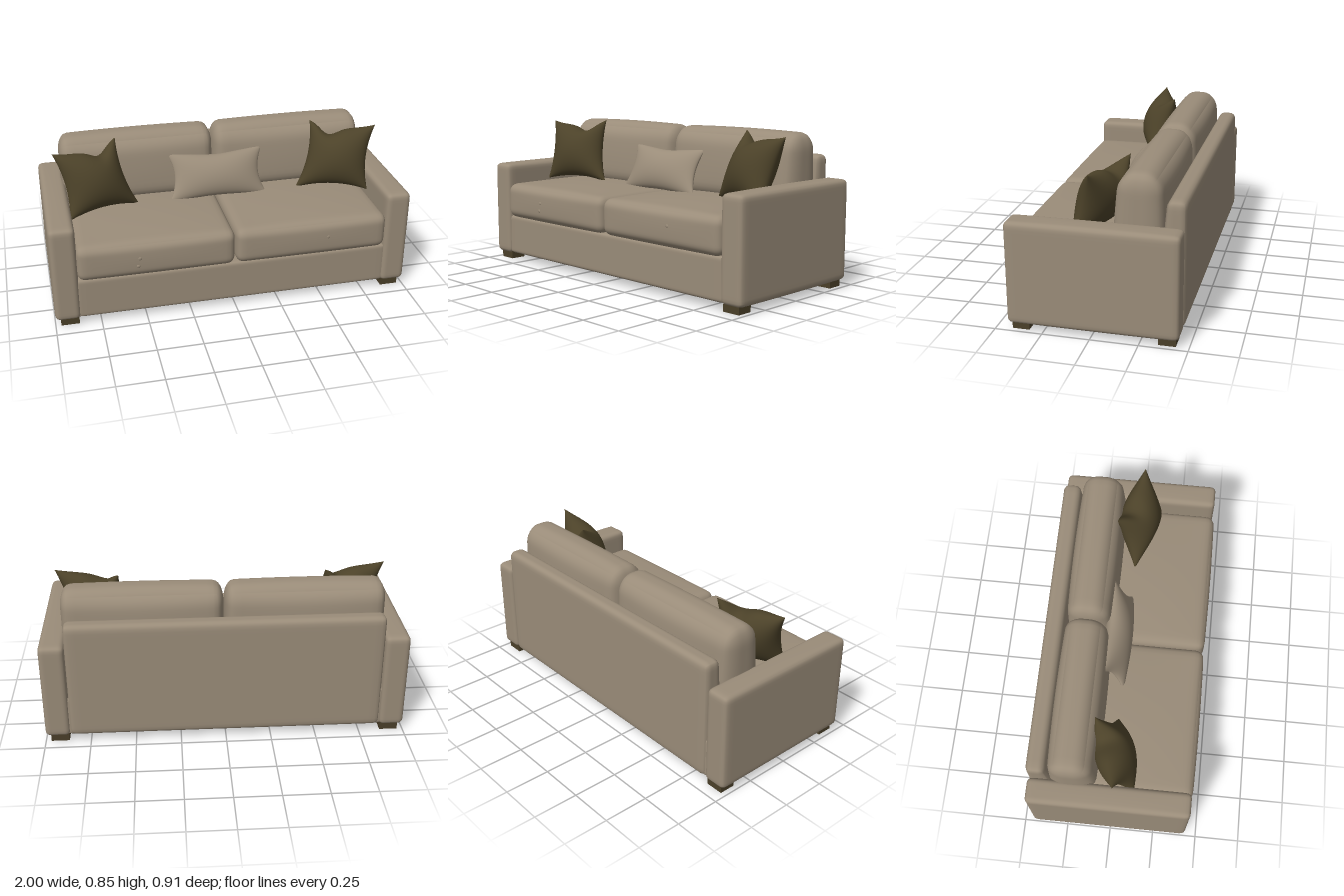
import * as THREE from 'three';
import { mergeGeometries, mergeVertices } from 'three/addons/utils/BufferGeometryUtils.js';

const fabric = new THREE.MeshStandardMaterial({ color: 0x9a8c79 });
fabric.name = 'taupe fabric';
const olive = new THREE.MeshStandardMaterial({ color: 0x4c4229 });
olive.name = 'olive fabric';
const wood = new THREE.MeshStandardMaterial({ color: 0x4a3f29 });
wood.name = 'dark wood';

const V = (x, y, z) => new THREE.Vector3(x, y, z);

// Move every vertex by a rule, then weld and smooth
function reshape(geo, rule) {
  geo.deleteAttribute('uv');
  geo.deleteAttribute('normal');
  const pos = geo.attributes.position;
  const p = V(0, 0, 0);
  for (let i = 0; i < pos.count; i++) {
    p.fromBufferAttribute(pos, i);
    rule(p);
    pos.setXYZ(i, p.x, p.y, p.z);
  }
  const out = mergeVertices(geo, 1e-5);
  out.computeVertexNormals();
  return out;
}

// Soft box between two corners: elliptical edge radii r, bulging faces, optional extra rule
function softBox(name, min, max, r, bulge = V(0, 0, 0), extra = null, n = 24) {
  const half = max.clone().sub(min).multiplyScalar(0.5);
  const mid = max.clone().add(min).multiplyScalar(0.5);
  const geo = reshape(new THREE.BoxGeometry(2, 2, 2, n, n, n), (p) => {
    const t = V(0, 0, 0), core = V(0, 0, 0), off = V(0, 0, 0);
    for (const a of ['x', 'y', 'z']) {
      t[a] = Math.sin(p[a] * Math.PI / 2); // finer rows near the edges
      const lim = half[a] - r[a];
      core[a] = THREE.MathUtils.clamp(t[a] * half[a], -lim, lim);
      off[a] = (t[a] * half[a] - core[a]) / r[a];
    }
    off.normalize();
    p.copy(core).add(off.multiply(r));
    const q = V(1 - t.x * t.x, 1 - t.y * t.y, 1 - t.z * t.z);
    p.x += bulge.x * t.x * q.y * q.z;
    p.y += bulge.y * t.y * q.x * q.z;
    p.z += bulge.z * t.z * q.x * q.y;
    if (extra) extra(p, t);
    p.add(mid);
  });
  const mesh = new THREE.Mesh(geo, fabric);
  mesh.name = name;
  return mesh;
}

// Throw pillow stretched between four corners, with pinched sides and a dented top
function pillow(name, [tl, tr, bl, br], thick, pinch, dent, dentAt, mat) {
  const face = new THREE.PlaneGeometry(2, 2, 32, 32).translate(0, 0, 1);
  const back = face.clone().rotateY(Math.PI);
  const normal = tr.clone().sub(tl).cross(tl.clone().sub(bl)).normalize();
  const geo = reshape(mergeGeometries([face, back]), (p) => {
    const side = Math.sign(p.z);
    const u = Math.sin(p.x * Math.PI / 2), v = Math.sin(p.y * Math.PI / 2);
    const puff = Math.max(0, (1 - u * u) * (1 - v * v));
    const a = u * (1 - pinch * (1 - v * v));
    let b = v * (1 - pinch * (1 - u * u));
    b -= dent * Math.exp(-(((u - dentAt) / 0.35) ** 2)) * Math.max(v, 0) ** 2;
    const top = tl.clone().lerp(tr, (a + 1) / 2);
    p.copy(bl).lerp(br, (a + 1) / 2).lerp(top, (b + 1) / 2);
    p.addScaledVector(normal, side * thick * puff ** 0.55);
  });
  const mesh = new THREE.Mesh(geo, mat);
  mesh.name = name;
  return mesh;
}

export function createModel() {
  const g = new THREE.Group();
  g.name = 'sofa';

  // Frame
  g.add(softBox('base', V(-0.88, 0.04, -0.44), V(0.88, 0.275, 0.425), V(0.02, 0.02, 0.02)));
  g.add(softBox('backPanel', V(-0.86, 0.04, -0.455), V(0.86, 0.715, -0.355), V(0.03, 0.035, 0.035),
    undefined, (p, t) => { if (p.z > 0) p.z += 0.03 * (1 - t.y) * (p.z / 0.05); }));

  for (const s of [-1, 1]) {
    const side = s > 0 ? 'left' : 'right';
    const span = (x0, x1) => (s > 0 ? [x0, x1] : [-x1, -x0]);

    // Arms
    const [a0, a1] = span(0.86, 1);
    g.add(softBox(side + 'Arm', V(a0, 0.038, -0.452), V(a1, 0.59, 0.437), V(0.03, 0.028, 0.03), V(0, 0.005, 0)));

    // Seat cushions
    const [s0, s1] = span(0.002, 0.866);
    g.add(softBox(side + 'SeatCushion', V(s0, 0.268, -0.33), V(s1, 0.474, 0.447), V(0.045, 0.05, 0.05), V(0, 0.018, 0.008)));

    // Back cushions, tapering towards a rounded top
    const [b0, b1] = span(0.002, 0.882);
    g.add(softBox(side + 'BackCushion', V(b0, 0.44, -0.335), V(b1, 0.842, -0.095), V(0.055, 0.1, 0.1), V(0, 0.008, 0.015),
      (p, t) => { p.z = p.z * (1 - 0.09 * t.y) - 0.006 * t.y; }));

    // Square pillows turned towards the middle
    const outerTop = V(s * 0.928, 0.838, 0.015), innerTop = V(s * 0.57, 0.852, -0.11);
    const outerLow = V(s * 0.865, 0.48, 0.125), innerLow = V(s * 0.462, 0.48, 0);
    const corners = s > 0 ? [innerTop, outerTop, innerLow, outerLow] : [outerTop, innerTop, outerLow, innerLow];
    g.add(pillow(side + 'Pillow', corners, 0.105, 0.16, 0.24, -s * 0.35, olive));

    // Feet
    for (const [end, z] of [['Front', 0.37], ['Back', -0.388]]) {
      const foot = new THREE.Mesh(new THREE.BoxGeometry(0.1, 0.045, 0.09), wood);
      foot.position.set(s * 0.92, 0.0225, z);
      foot.name = side + end + 'Foot';
      g.add(foot);
    }
  }

  // Lumbar pillow
  g.add(pillow('lumbarPillow',
    [V(-0.28, 0.725, -0.1), V(0.28, 0.725, -0.1), V(-0.29, 0.465, 0.01), V(0.29, 0.465, 0.01)],
    0.068, 0.14, 0.05, 0, fabric));

  // Small studs on the seat fronts
  for (const [x, y] of [[-0.53, 0.386], [-0.54, 0.34], [0.52, 0.386]]) {
    const stud = new THREE.Mesh(new THREE.SphereGeometry(0.01, 12, 8), fabric);
    stud.scale.z = 0.4;
    stud.position.set(x, y, 0.453);
    stud.name = 'seatStud';
    g.add(stud);
  }
  return g;
}
